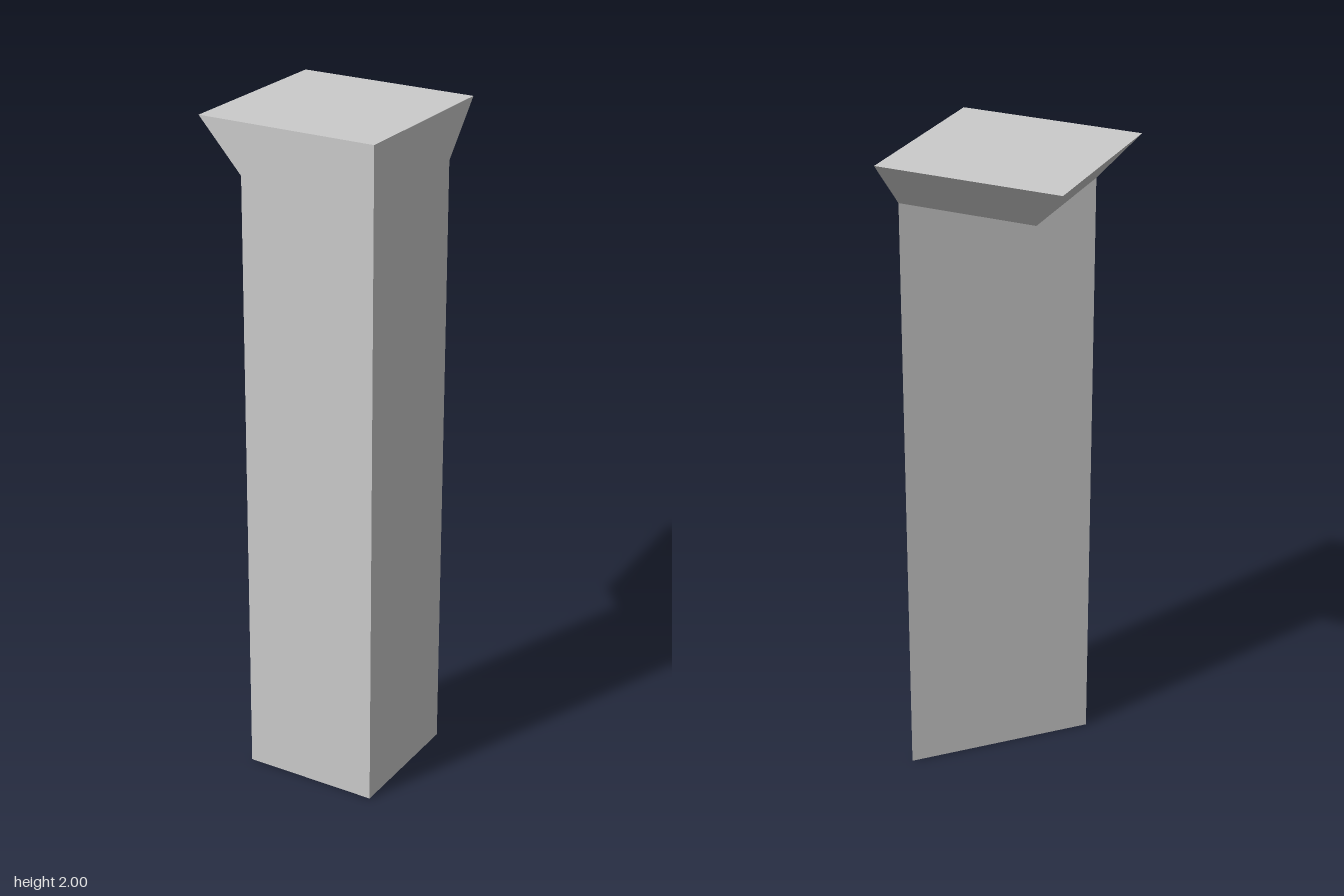
import * as THREE from 'three';

const OUT = 0.274, IN = -0.14, CAP_Y = 1.85, TOP_Y = 2;

// Horizontal loop of corners, counterclockwise seen from above
const ring = (pts, y) => pts.map(([x, z]) => [x, y, z]);

// Quads joining two rings, facing outwards
const walls = (low, high) => low.map((p, i) => {
  const j = (i + 1) % low.length;
  return [p, low[j], high[j], high[i]];
});

// Mesh from flat convex polygons, each split as a fan
function polyMesh(name, faces) {
  const pos = [];
  for (const f of faces) {
    for (let i = 1; i < f.length - 1; i++) pos.push(...f[0], ...f[i], ...f[i + 1]);
  }
  const geo = new THREE.BufferGeometry();
  geo.setAttribute('position', new THREE.Float32BufferAttribute(pos, 3));
  geo.computeVertexNormals();
  const mesh = new THREE.Mesh(geo, new THREE.MeshStandardMaterial({ color: 0xcccccc, flatShading: true }));
  mesh.name = name;
  return mesh;
}

export function createModel() {
  const group = new THREE.Group();
  group.name = 'cornerColumn';

  // Triangular shaft, its right-angled corner at the front left
  const triangle = [[IN, OUT], [OUT, OUT], [OUT, IN]];
  const foot = ring(triangle, 0);
  const neck = ring(triangle, CAP_Y);
  group.add(polyMesh('shaft', [...walls(foot, neck), foot.slice().reverse()]));

  // Square capital flaring outwards on the two inner sides
  const base = ring([...triangle, [IN, IN]], CAP_Y);
  const top = ring([[-OUT, OUT], [OUT, OUT], [OUT, -OUT], [-OUT, -OUT]], TOP_Y);
  const soffit = [base[0], base[3], base[2]];
  group.add(polyMesh('capital', [...walls(base, top), top, soffit]));

  return group;
}
